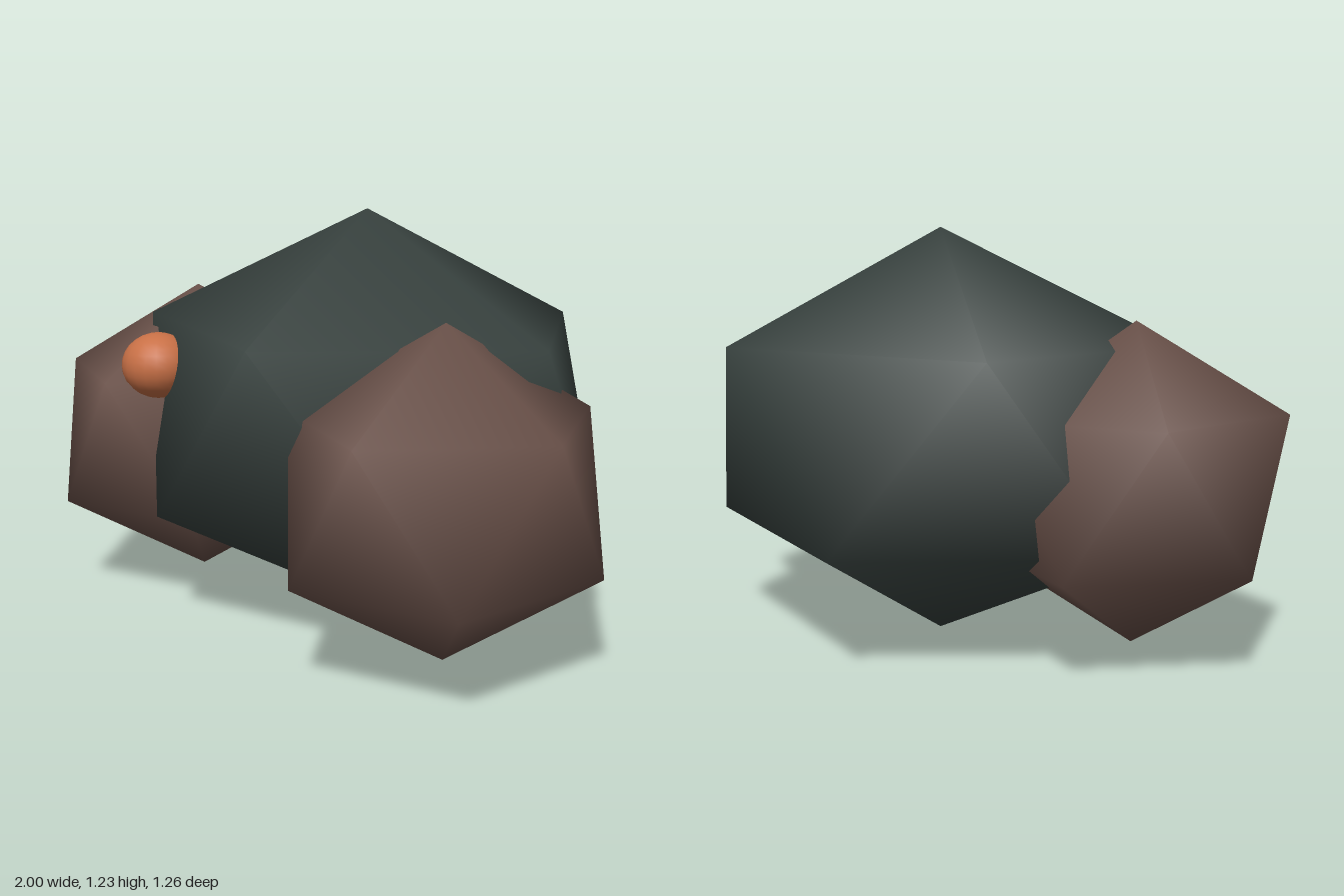
import * as THREE from 'three';

// Smooth-shaded icosahedron with vertical poles: two staggered rings of five
function icoLump(rx, ry, rz) {
  const ringY = 1 / Math.sqrt(5), ringR = 2 / Math.sqrt(5);
  const pos = [0, 1, 0, 0, -1, 0];
  const index = [];
  for (let i = 0; i < 5; i++) {
    const a = (i * 2 * Math.PI) / 5, b = a + Math.PI / 5;
    pos.push(ringR * Math.cos(a), ringY, -ringR * Math.sin(a));
    pos.push(ringR * Math.cos(b), -ringY, -ringR * Math.sin(b));
    const n = (i + 1) % 5;
    const u = 2 + 2 * i, l = u + 1, un = 2 + 2 * n, ln = un + 1;
    index.push(0, u, un, u, l, un, l, ln, un, 1, ln, l);
  }
  const geo = new THREE.BufferGeometry();
  geo.setAttribute('position', new THREE.Float32BufferAttribute(pos, 3));
  geo.setIndex(index);
  geo.scale(rx, ry, rz);
  geo.computeVertexNormals();
  return geo;
}

export function createModel() {
  const group = new THREE.Group();
  const material = (name, color) => {
    const m = new THREE.MeshStandardMaterial({ color });
    m.name = name;
    return m;
  };
  const slate = material('darkSlate', 0x38423f);
  const brown = material('warmBrown', 0x6b524a);
  const orange = material('orange', 0xc87046);

  const add = (name, geo, mat, x, y, z) => {
    const mesh = new THREE.Mesh(geo, mat);
    mesh.name = name;
    mesh.position.set(x, y, z);
    group.add(mesh);
  };

  // Large central body
  add('body', icoLump(0.83, 0.6125, 0.723), slate, 0, 0.617, -0.015);

  // Side lumps, both turned the same way
  const side = icoLump(0.468, 0.465, 0.503);
  add('leftLump', side, brown, 0.58, 0.505, 0.205);
  add('rightLump', side, brown, -0.58, 0.505, 0.205);

  // Small ball half sunk between the body and the right lump
  const ball = new THREE.SphereGeometry(1, 20, 14);
  ball.scale(0.112, 0.1, 0.11);
  add('ball', ball, orange, -0.39, 0.76, 0.48);

  return group;
}
